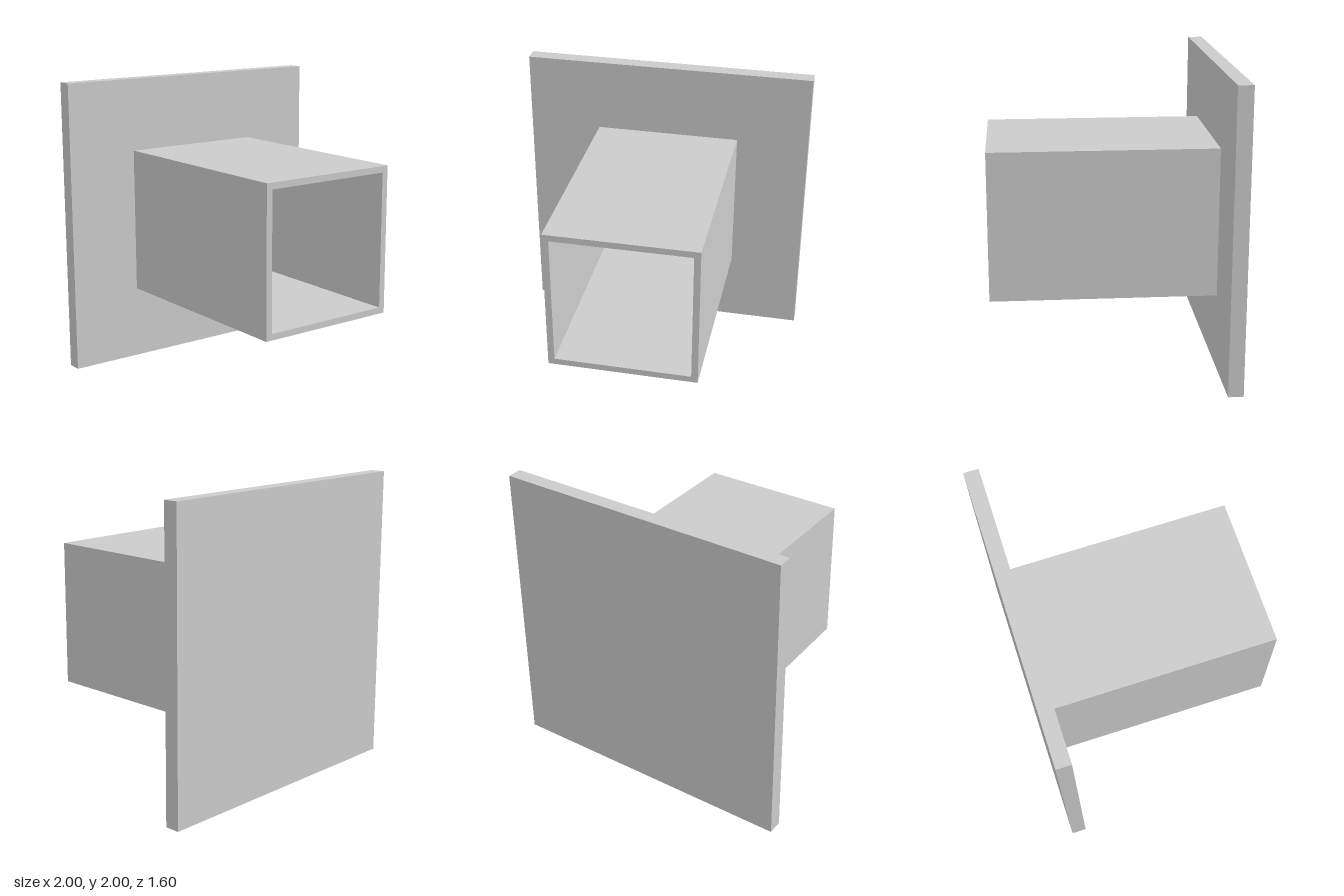
import * as THREE from 'three';

const OUTER = 0.5, INNER = 0.457, FRONT = 0.8, PLATE_FRONT = -0.7, PLATE_THICK = 0.1;

// Corners of a square centred on the origin
const square = (h) => [[-h, -h], [h, -h], [h, h], [-h, h]].map(([x, y]) => new THREE.Vector2(x, y));

export function createModel() {
  const model = new THREE.Group();
  const material = new THREE.MeshStandardMaterial({ color: 0xcccccc });

  // Square backing plate
  const plate = new THREE.Mesh(new THREE.BoxGeometry(2, 2, PLATE_THICK), material);
  plate.name = 'mountingPlate';
  plate.position.set(0, 1, PLATE_FRONT - PLATE_THICK / 2);
  model.add(plate);

  // Hollow square tube, open at the front and closed by the plate
  const profile = new THREE.Shape(square(OUTER));
  profile.holes.push(new THREE.Path(square(INNER).reverse()));
  const tube = new THREE.Mesh(
    new THREE.ExtrudeGeometry(profile, { depth: FRONT - PLATE_FRONT, bevelEnabled: false }),
    material
  );
  tube.name = 'squareTube';
  tube.position.set(0, 1, PLATE_FRONT);
  model.add(tube);

  return model;
}
